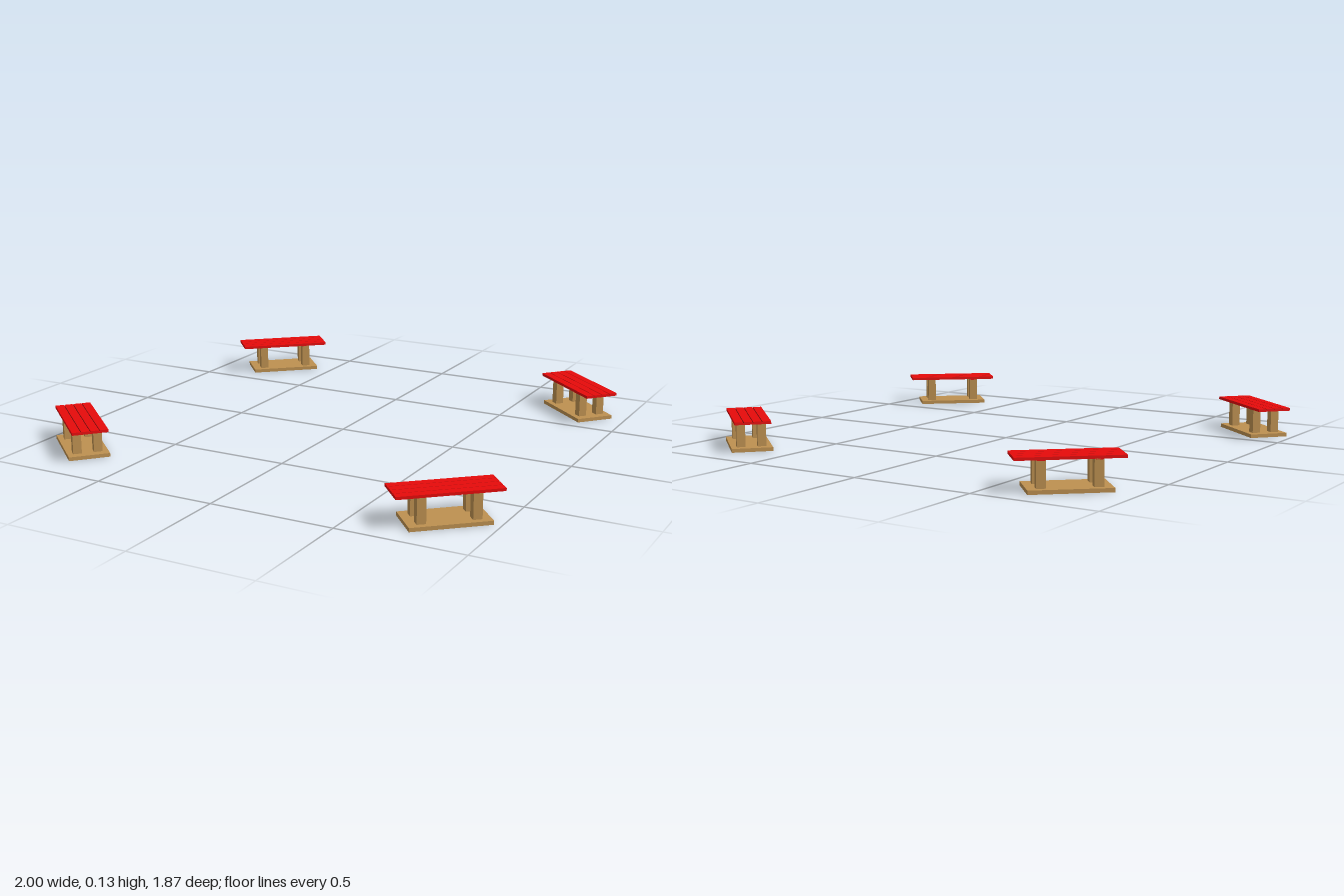
import * as THREE from 'three';

export function createModel() {
  const red = new THREE.MeshStandardMaterial({ color: 0xe60a0a });
  red.name = 'red paint';
  const dark = new THREE.MeshStandardMaterial({ color: 0x480808 });
  dark.name = 'dark groove';
  const wood = new THREE.MeshStandardMaterial({ color: 0xbd9050 });
  wood.name = 'tan wood';

  function box(parent, name, material, size, pos) {
    const mesh = new THREE.Mesh(new THREE.BoxGeometry(...size), material);
    mesh.name = name;
    mesh.position.set(...pos);
    parent.add(mesh);
  }

  function createBench() {
    const bench = new THREE.Group();
    // Ground slab
    box(bench, 'base', wood, [0.304, 0.015, 0.162], [0, 0.0075, 0]);
    for (const x of [-0.101, 0.101]) {
      // Square legs in pairs, each pair joined by a batten under the seat
      for (const z of [-0.041, 0.041])
        box(bench, 'leg', wood, [0.034, 0.1, 0.034], [x, 0.065, z]);
      box(bench, 'batten', red, [0.03, 0.006, 0.116], [x, 0.114, 0]);
    }
    // Seat board carrying four planks
    const length = 0.394, depth = 0.142, gap = 0.003;
    box(bench, 'seatBoard', red, [length, 0.006, depth], [0, 0.119, 0]);
    const width = (depth - 3 * gap) / 4, pitch = width + gap;
    for (let i = 0; i < 4; i++)
      box(bench, 'plank', red, [length, 0.005, width], [0, 0.1245, (i - 1.5) * pitch]);
    // Dark grooves between the planks, with a short break near each end
    for (let i = 0; i < 3; i++) {
      const z = (i - 1) * pitch;
      box(bench, 'groove', dark, [0.31, 0.003, gap], [0, 0.1235, z]);
      for (const x of [-0.173, 0.173])
        box(bench, 'grooveEnd', dark, [0.018, 0.003, gap], [x, 0.1235, z]);
    }
    return bench;
  }

  // Four benches set around the corners
  const model = new THREE.Group();
  model.name = 'benches';
  const angle = THREE.MathUtils.degToRad(41.5);
  const places = [
    ['backRightBench', -0.737, -0.754, angle],
    ['backLeftBench', 0.774, -0.718, -angle],
    ['frontRightBench', -0.804, 0.708, -angle],
    ['frontLeftBench', 0.804, 0.75, angle],
  ];
  for (const [name, x, z, turn] of places) {
    const bench = createBench();
    bench.name = name;
    bench.position.set(x, 0, z);
    bench.rotation.y = turn;
    model.add(bench);
  }
  return model;
}
